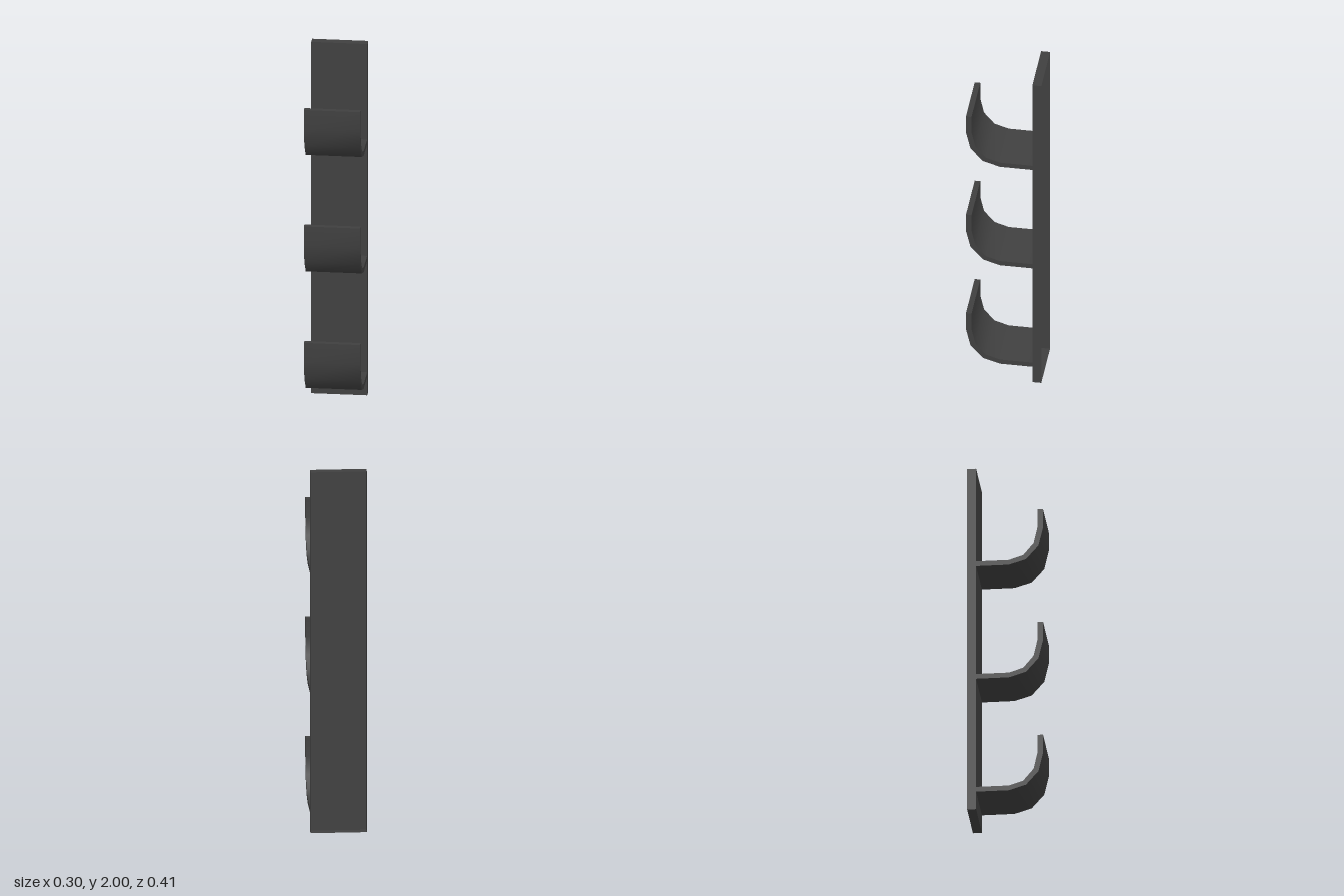
import * as THREE from 'three';
import { toCreasedNormals } from 'three/addons/utils/BufferGeometryUtils.js';

const WIDTH = 0.3;
const PLATE_FRONT = -0.155;
const PLATE_BACK = -0.203;

// Points of a quarter ellipse from its lowest point up to its front
function quarterArc(cz, cy, rz, ry, steps = 3) {
  return Array.from({ length: steps + 1 }, (_, i) => {
    const a = (i / steps) * Math.PI / 2;
    return new THREE.Vector2(cz + rz * Math.sin(a), cy - ry * Math.cos(a));
  });
}

// Curved strip: flat shelf, bend, upright lip (profile x becomes model z)
function hookGeometry() {
  const lipTop = 0.318;
  const shape = new THREE.Shape([
    new THREE.Vector2(PLATE_FRONT, 0),
    ...quarterArc(0.02, 0.21, 0.183, 0.21),
    new THREE.Vector2(0.203, lipTop),
    new THREE.Vector2(0.173, lipTop),
    ...quarterArc(0.02, 0.213, 0.153, 0.185).reverse(),
    new THREE.Vector2(PLATE_FRONT, 0.028),
  ]);
  const geometry = new THREE.ExtrudeGeometry(shape, { depth: WIDTH, bevelEnabled: false });
  geometry.rotateY(-Math.PI / 2).translate(WIDTH / 2, 0, 0);
  return toCreasedNormals(geometry, 0.8);
}

// Tall shallow tray, open at the back
function plateGeometry() {
  const geometry = new THREE.BoxGeometry(WIDTH, 2, PLATE_FRONT - PLATE_BACK);
  geometry.setIndex(Array.from(geometry.index.array).slice(0, 30)); // drop the rear face
  geometry.clearGroups();
  return geometry.translate(0, 1, (PLATE_FRONT + PLATE_BACK) / 2);
}

export function createModel() {
  const group = new THREE.Group();
  group.name = 'wallRack';
  const darkGrey = new THREE.MeshStandardMaterial({ color: 0x404040, side: THREE.DoubleSide });
  darkGrey.name = 'darkGrey';

  const plate = new THREE.Mesh(plateGeometry(), darkGrey);
  plate.name = 'backPlate';
  group.add(plate);

  // Three equally spaced holders
  const hook = hookGeometry();
  ['lowerHook', 'middleHook', 'upperHook'].forEach((name, i) => {
    const mesh = new THREE.Mesh(hook, darkGrey);
    mesh.name = name;
    mesh.position.y = 0.103 + i * 0.663;
    group.add(mesh);
  });
  return group;
}
